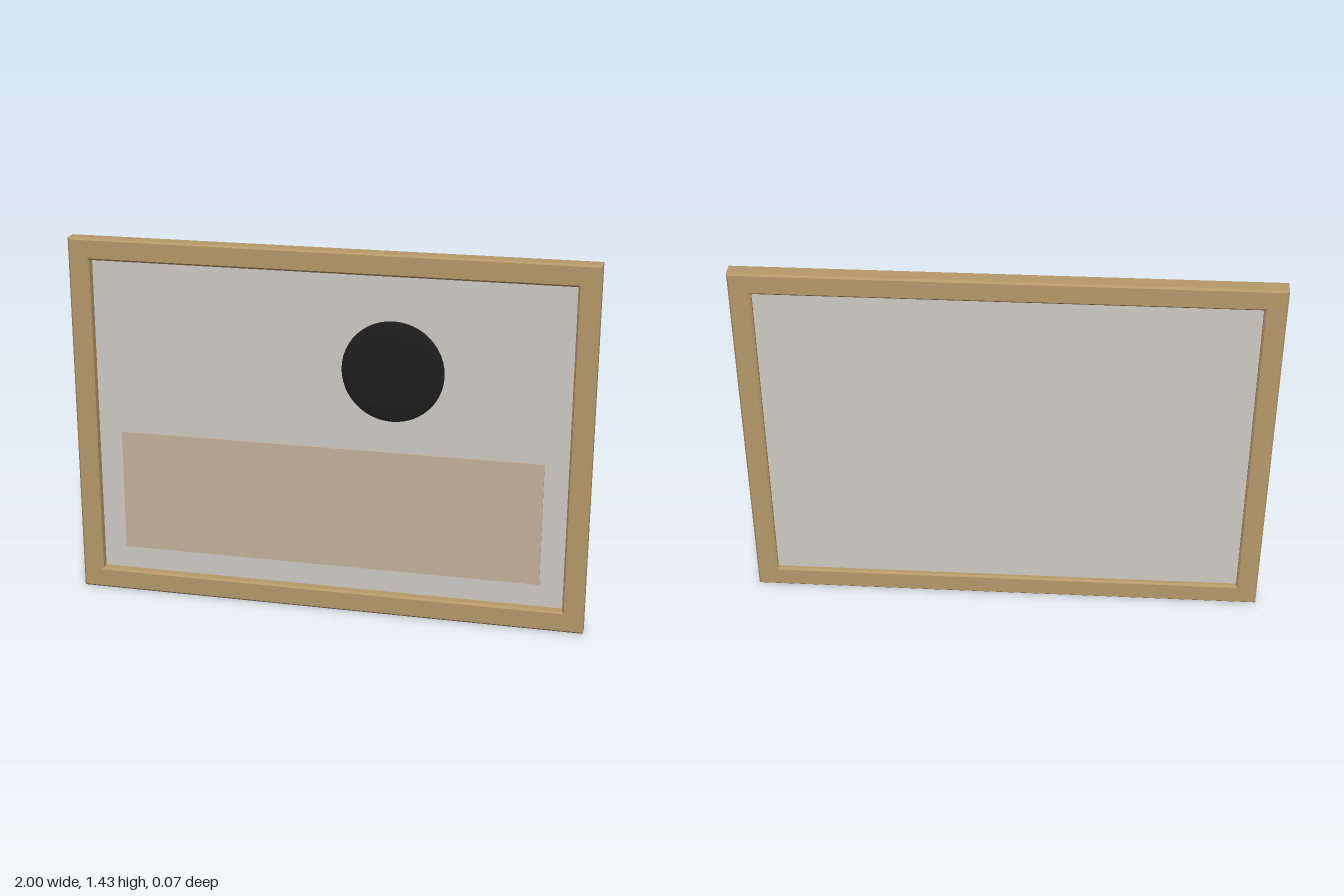
import * as THREE from 'three';

const mat = (name, color) => {
  const m = new THREE.MeshStandardMaterial({ color });
  m.name = name;
  return m;
};

// Traces a rectangle onto a shape or path
function rect(path, x, y0, y1) {
  path.moveTo(-x, y0);
  path.lineTo(x, y0);
  path.lineTo(x, y1);
  path.lineTo(-x, y1);
  path.closePath();
  return path;
}

export function createModel() {
  const group = new THREE.Group();
  group.name = 'framedPicture';

  const wood = mat('tan wood', 0xb6996a);
  const canvas = mat('pale grey canvas', 0xcfcbc4);
  const beige = mat('beige paint', 0xc4b29d);
  const black = mat('black paint', 0x1e1e1e);

  const add = (name, geometry, material, x, y, z) => {
    const mesh = new THREE.Mesh(geometry, material);
    mesh.name = name;
    mesh.position.set(x, y, z);
    group.add(mesh);
    return mesh;
  };

  // Frame with small chamfers on the outer and inner edges
  const height = 1.43, halfDepth = 0.034, bevel = 0.007;
  const outline = rect(new THREE.Shape(), 1, 0, height);
  outline.holes.push(rect(new THREE.Path(), 0.918, 0.083, height - 0.083));
  const frame = new THREE.ExtrudeGeometry(outline, {
    depth: 2 * (halfDepth - bevel),
    bevelEnabled: true,
    bevelThickness: bevel,
    bevelSize: bevel,
    bevelOffset: -bevel,
    bevelSegments: 1,
  });
  add('frame', frame, wood, 0, 0, bevel - halfDepth);

  // Canvas panel recessed in the frame
  add('canvasPanel', new THREE.BoxGeometry(1.85, 1.28, 0.012), canvas, 0, height / 2, -0.009);

  // Raised rectangle on the lower half
  add('lowerBlock', new THREE.BoxGeometry(1.65, 0.485, 0.009), beige, 0, 0.418, 0.0015);

  // Shallow domed disc above it
  const disc = add('domedDisc', new THREE.SphereGeometry(0.195, 48, 24), black, 0.248, 0.977, -0.002);
  disc.scale.z = 0.06;

  return group;
}
